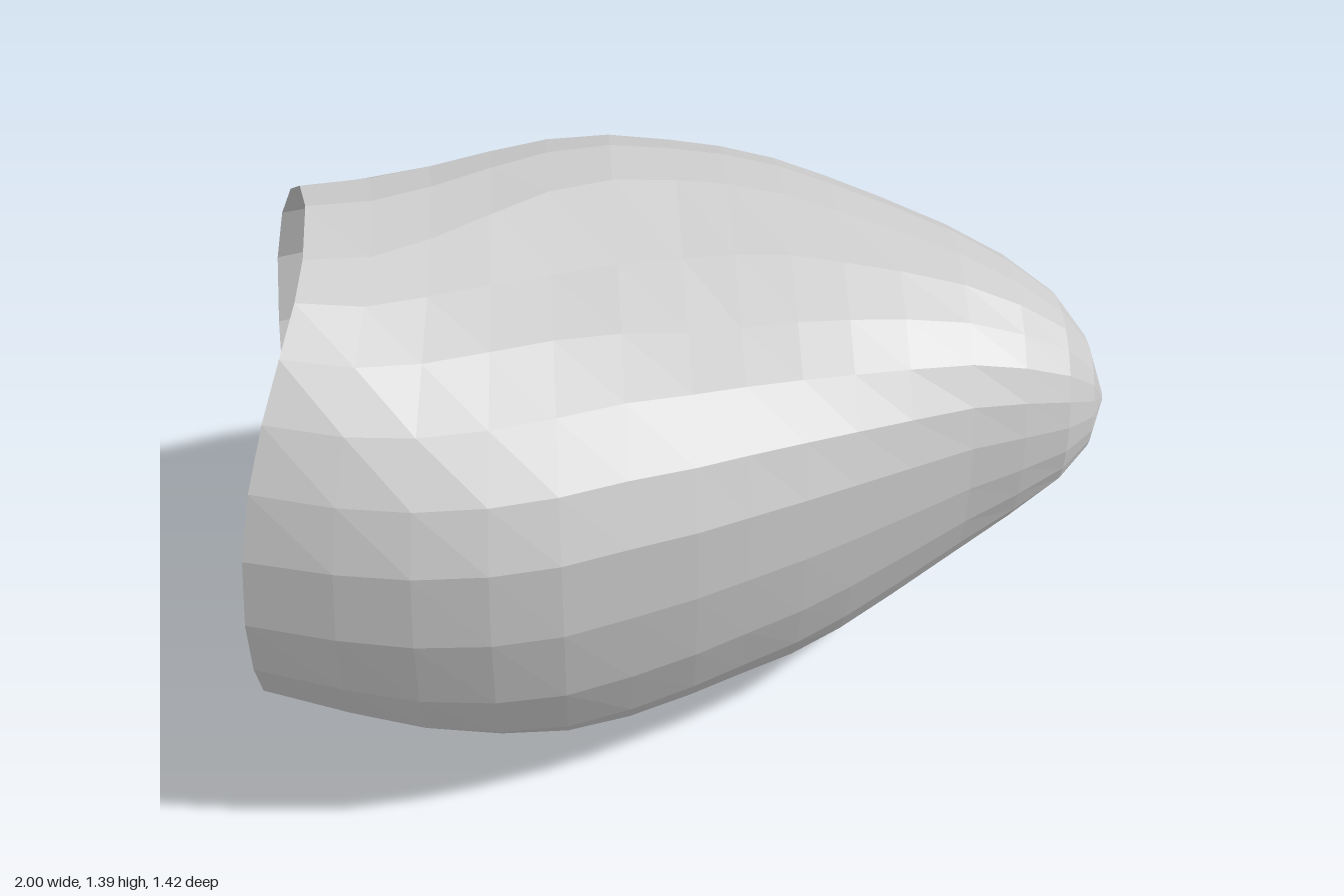
import * as THREE from 'three';

// Cross-sections along x: [x, top y, bottom y, back z, front z, z of the crest, z of the keel]
const STATIONS = [
  [-1.00, 1.39, 0.18, -0.51, 0.64, 0.20, 0.03],
  [-0.80, 1.36, 0.11, -0.585, 0.69, 0.15, 0.03],
  [-0.63, 1.34, 0.05, -0.64, 0.715, 0.05, 0.03],
  [-0.46, 1.33, 0.015, -0.69, 0.715, -0.06, 0.03],
  [-0.30, 1.325, 0.00, -0.72, 0.69, -0.15, 0.03],
  [-0.15, 1.32, 0.015, -0.72, 0.64, -0.20, 0.03],
  [0.00, 1.30, 0.06, -0.70, 0.59, -0.22, 0.03],
  [0.12, 1.285, 0.10, -0.675, 0.54, -0.22, 0.03],
  [0.25, 1.265, 0.14, -0.63, 0.485, -0.20, 0.03],
  [0.37, 1.24, 0.20, -0.57, 0.43, -0.16, 0.03],
  [0.50, 1.21, 0.29, -0.49, 0.37, -0.12, 0.03],
  [0.65, 1.17, 0.40, -0.395, 0.30, -0.07, 0.03],
  [0.78, 1.12, 0.505, -0.305, 0.255, -0.02, 0.03],
  [0.89, 1.05, 0.60, -0.21, 0.21, 0.01, 0.03],
  [0.96, 0.96, 0.69, -0.11, 0.15, 0.03, 0.03],
  [1.00, 0.835, 0.805, 0.015, 0.055, 0.035, 0.035],
];
const SIDES = 22;
const MID_Y = 0.82;

// Point on a section: four superellipse quarters, a dent in the crown and a raked rim
function sectionPoint([x, top, bottom, back, front, crest, keel], angle) {
  const c = Math.cos(angle), s = Math.sin(angle);
  const upper = s >= 0, forward = c >= 0;
  const n = upper ? (forward ? 2.1 : 2.4) : (forward ? 2.05 : 1.9);
  const z0 = upper ? crest : keel;
  const z = z0 + ((forward ? front : back) - z0) * Math.abs(c) ** (2 / n);
  let y = MID_Y + ((upper ? top : bottom) - MID_Y) * Math.abs(s) ** (2 / n);
  if (upper) {
    y -= 0.075 * s * Math.exp(-(((x + 0.05) / 0.38) ** 2) - ((z - 0.14) / 0.16) ** 2);
  }
  const rake = Math.max(0, (-0.3 - x) / 0.7) * Math.max(0, (y - 0.5) / 0.9) ** 3;
  return [x + 0.17 * rake, y, z];
}

function shellGeometry() {
  const positions = [], index = [];
  for (const station of STATIONS) {
    for (let j = 0; j < SIDES; j++) {
      positions.push(...sectionPoint(station, Math.PI / 2 + (j / SIDES) * Math.PI * 2));
    }
  }
  for (let i = 0; i < STATIONS.length - 1; i++) {
    for (let j = 0; j < SIDES; j++) {
      const a = i * SIDES + j, d = i * SIDES + ((j + 1) % SIDES);
      const b = a + SIDES, e = d + SIDES;
      index.push(a, b, d, b, e, d);
    }
  }
  const geometry = new THREE.BufferGeometry();
  geometry.setAttribute('position', new THREE.Float32BufferAttribute(positions, 3));
  geometry.setIndex(index);
  const flat = geometry.toNonIndexed();
  flat.computeVertexNormals();
  return flat;
}

export function createModel() {
  const group = new THREE.Group();
  group.name = 'hollowCap';

  // Thin shell, open at the wide end and with a pinhole at the tip
  const shell = new THREE.Mesh(
    shellGeometry(),
    new THREE.MeshStandardMaterial({ color: 0xcccccc, flatShading: true, side: THREE.DoubleSide })
  );
  shell.name = 'shell';
  group.add(shell);
  return group;
}
